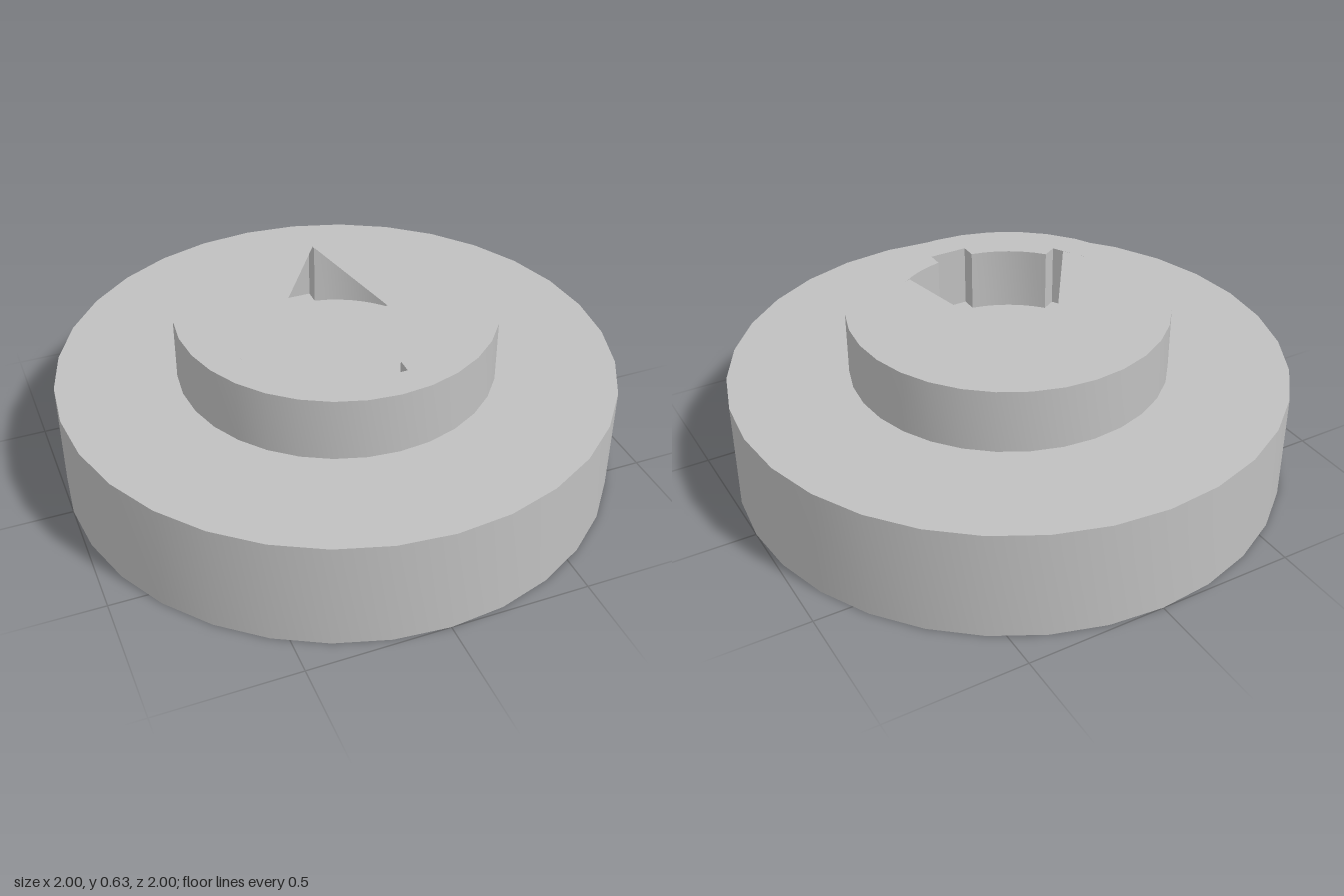
import * as THREE from 'three';
import { toCreasedNormals } from 'three/addons/utils/BufferGeometryUtils.js';

const BASE_H = 0.4, TOP = 0.63, BORE_R = 0.405, NOTCH_R = 0.455, NOTCH_W = 0.07;

// Regular 32-sided outline
function ring(radius) {
  return Array.from({ length: 32 }, (_, i) => {
    const a = (i / 32) * Math.PI * 2;
    return new THREE.Vector2(radius * Math.cos(a), radius * Math.sin(a));
  });
}

// Round bore with six square notches
function boreOutline() {
  const pts = [];
  const half = Math.asin(NOTCH_W / BORE_R);
  const steps = 6;
  for (let k = 0; k < 6; k++) {
    const a = Math.PI / 2 + (k * Math.PI) / 3;
    const at = (r, t) => new THREE.Vector2(
      r * Math.cos(a) - t * Math.sin(a), r * Math.sin(a) + t * Math.cos(a));
    const inner = BORE_R * Math.cos(half);
    pts.push(at(inner, -NOTCH_W), at(NOTCH_R, -NOTCH_W), at(NOTCH_R, NOTCH_W));
    for (let i = 0; i < steps; i++) {
      const b = a + half + (i / steps) * (Math.PI / 3 - 2 * half);
      pts.push(new THREE.Vector2(BORE_R * Math.cos(b), BORE_R * Math.sin(b)));
    }
  }
  return pts;
}

export function createModel() {
  const group = new THREE.Group();
  const grey = new THREE.MeshStandardMaterial({ color: 0xc0c0c0, side: THREE.DoubleSide });
  grey.name = 'grey';
  const bore = boreOutline();

  function add(name, geometry, y) {
    geometry.rotateX(-Math.PI / 2);
    const mesh = new THREE.Mesh(geometry, grey);
    mesh.name = name;
    mesh.position.y = y;
    group.add(mesh);
  }

  // Bored discs: wide base and narrower hub
  function boredDisc(name, radius, y, depth) {
    const shape = new THREE.Shape(ring(radius));
    shape.holes.push(new THREE.Path(bore));
    const geo = new THREE.ExtrudeGeometry(shape, { depth, bevelEnabled: false });
    add(name, toCreasedNormals(geo, 0.5), y);
  }
  boredDisc('base', 1, 0, BASE_H);
  boredDisc('hub', 0.57, BASE_H, TOP - BASE_H);

  // Web closing the bore between base and hub
  add('boreFloor', new THREE.ShapeGeometry(new THREE.Shape(bore)), BASE_H);

  // Two top covers leave a wedge-shaped opening
  const apex = new THREE.Vector2(0.07, 0.414);
  const leftEnd = new THREE.Vector2(-0.38, -0.25);
  const rightEnd = new THREE.Vector2(0.22, -0.335);
  const side = (end, p) => end.clone().sub(apex).cross(p.clone().sub(apex));
  const leftPts = bore.filter((p) => side(leftEnd, p) < 0);
  const rightPts = bore.filter((p) => side(leftEnd, p) >= 0 && side(rightEnd, p) > 0);
  add('leftCover', new THREE.ShapeGeometry(new THREE.Shape([apex, ...leftPts, leftEnd])), TOP);
  add('rightCover', new THREE.ShapeGeometry(new THREE.Shape([rightEnd, ...rightPts, apex])), TOP);

  return group;
}
